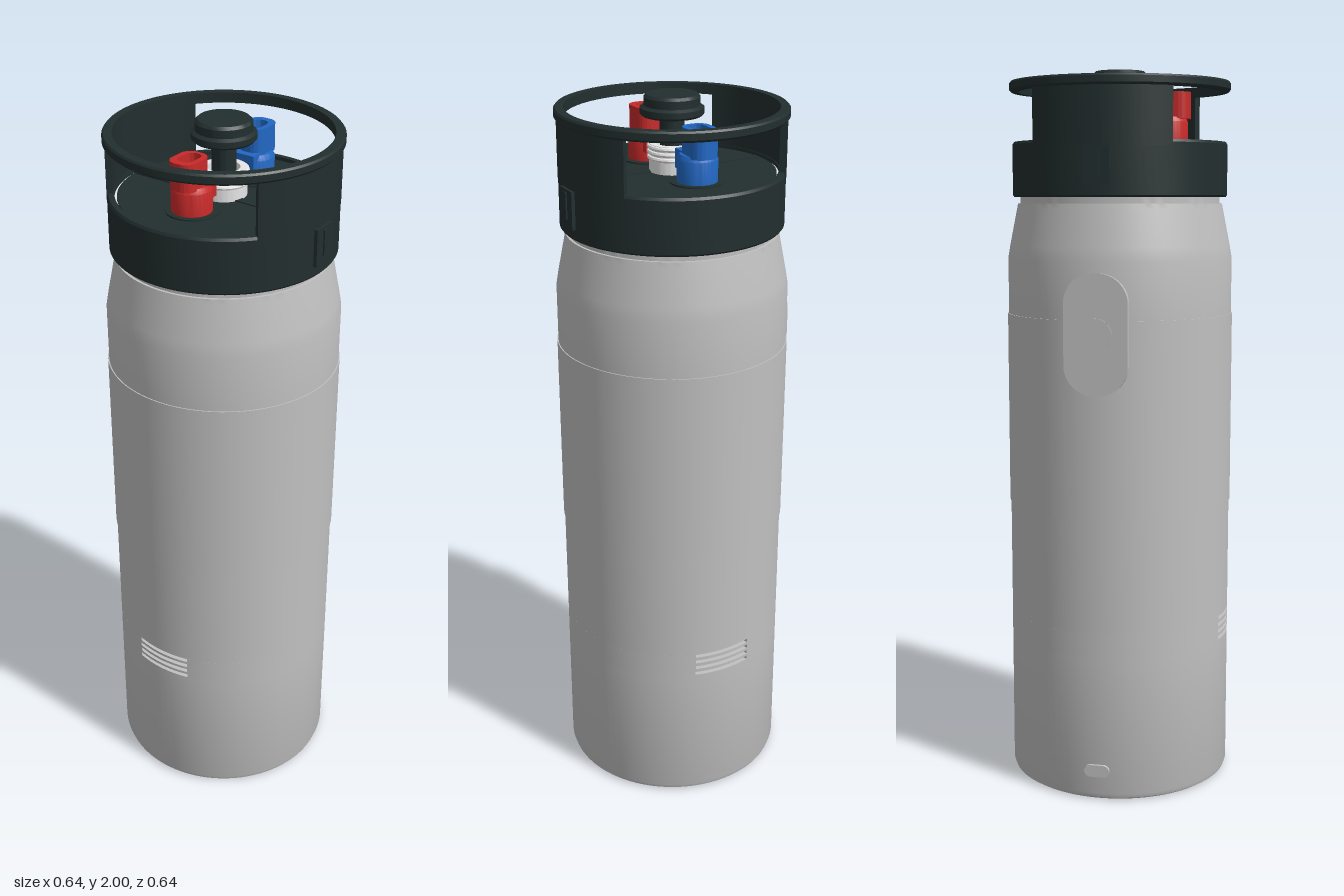
import * as THREE from 'three';
import { toCreasedNormals } from 'three/addons/utils/BufferGeometryUtils.js';

const mat = (name, color) => {
  const m = new THREE.MeshStandardMaterial({ color });
  m.name = name;
  return m;
};

export function createModel() {
  const steel = mat('steel grey', 0xc0c0c0);
  const dark = mat('dark green black', 0x222e2e);
  const white = mat('pale rim', 0xe6e6e6);
  const red = mat('red', 0xc92a2a);
  const blue = mat('blue', 0x2268c4);
  const model = new THREE.Group();
  model.name = 'bottle';

  const add = (name, geo, material, parent = model) => {
    const m = new THREE.Mesh(toCreasedNormals(geo, 0.5), material);
    m.name = name;
    parent.add(m);
    return m;
  };
  // Revolved profile, listed counterclockwise as [radius, y]
  const lathe = (pts, seg = 80) =>
    new THREE.LatheGeometry(pts.map(p => new THREE.Vector2(p[0], p[1])), seg);
  const ring = (r0, r1, y0, y1) => lathe([[r0, y0], [r1, y0], [r1, y1], [r0, y1], [r0, y0]]);
  const disc = (r, y0, y1, seg = 40) => lathe([[0, y0], [r, y0], [r, y1], [0, y1]], seg);
  // Upright extrusion of a floor plan, from y0 to y1
  const upright = (shape, y0, y1) => {
    const g = new THREE.ExtrudeGeometry(shape, { depth: y1 - y0, bevelEnabled: false, curveSegments: 28 });
    return g.rotateX(-Math.PI / 2).translate(0, y0, 0);
  };
  // Curved wall centred on angle a, with half-angle h
  const wall = (r0, r1, a, h, y0, y1) => {
    const s = new THREE.Shape();
    s.absarc(0, 0, r1, a - h, a + h, false);
    s.absarc(0, 0, r0, a + h, a - h, true);
    s.closePath();
    return upright(s, y0, y1);
  };
  const rounded = (P, cx, cy, hw, hh, r) => {
    const s = new P();
    s.absarc(cx + hw - r, cy + hh - r, r, 0, Math.PI / 2, false);
    s.absarc(cx - hw + r, cy + hh - r, r, Math.PI / 2, Math.PI, false);
    s.absarc(cx - hw + r, cy - hh + r, r, Math.PI, Math.PI * 1.5, false);
    s.absarc(cx + hw - r, cy - hh + r, r, Math.PI * 1.5, Math.PI * 2, false);
    s.closePath();
    return s;
  };

  // Bottle body with a sleeve band, sloped shoulder and neck
  const R = 0.315, V0 = 0.41, V1 = 0.48, inner = 0.302;
  add('body', lathe([
    [0, 0], [0.302, 0], [0.311, 0.006], [R, 0.018], [R, V0], [inner, V0], [inner, V1], [R, V1],
    [R, 0.8], [0.318, 0.8], [0.318, 1.335], [R, 1.335], [R, 1.49], [0.309, 1.525],
    [0.289, 1.625], [0.286, 1.64], [0.279, 1.64], [0.279, 1.67], [0, 1.67],
  ], 96), steel);

  // Side vents: walls fill the groove except for slots on each side
  const ventHalf = 0.272;
  for (const s of [1, -1]) {
    add('ventWall', wall(inner, R, s * Math.PI / 2, Math.PI / 2 - ventHalf, V0, V1), steel);
    for (let i = 0; i < 3; i++) {
      const y = V0 + 0.0115 + i * 0.0195;
      add('ventRib', wall(inner, R, s > 0 ? 0 : Math.PI, ventHalf, y, y + 0.008), steel);
    }
  }

  // Back plate with round button, and small port near the base
  const backPlate = (name, shape, y, z0, z1) => {
    const g = new THREE.ExtrudeGeometry(shape, {
      depth: z1 - z0, bevelEnabled: false, curveSegments: 16,
    });
    add(name, g.rotateY(Math.PI).translate(0, y, -z0), steel);
  };
  backPlate('backPlate', rounded(THREE.Shape, 0, 0, 0.087, 0.162, 0.08), 1.298, 0.29, 0.322);
  backPlate('backButton', rounded(THREE.Shape, 0, 0, 0.044, 0.044, 0.0439), 1.298, 0.32, 0.325);
  backPlate('basePort', rounded(THREE.Shape, 0, 0, 0.035, 0.017, 0.0169), 0.086, 0.3, 0.322);

  // Lid collar, pale rim and deck
  add('lidCollar', lathe([
    [0.27, 1.657], [0.296, 1.657], [0.3, 1.662], [0.3, 1.8], [0.296, 1.807],
    [0.281, 1.807], [0.281, 1.7], [0.27, 1.7], [0.27, 1.657],
  ]), dark);
  add('lidRim', ring(0.27, 0.281, 1.7, 1.796), white);
  add('deck', disc(0.275, 1.7, 1.8, 80), dark);
  add('deckStrip', new THREE.BoxGeometry(0.023, 0.004, 0.54).translate(-0.015, 1.801, 0), dark);

  // Front and back: curved handle supports, latches with a raised slider
  for (const s of [1, -1]) {
    add('handleSupport', wall(0.283, 0.301, s * Math.PI / 2, 0.68, 1.79, 1.947), dark);
    add('latch', new THREE.BoxGeometry(0.07, 0.1, 0.02).translate(0, 1.738, s * 0.297), dark);
    add('latchSlider', new THREE.BoxGeometry(0.013, 0.07, 0.012).translate(0, 1.745, s * 0.305), dark);
  }

  // Carry ring
  add('carryRing', lathe([
    [0.281, 1.943], [0.301, 1.943], [0.307, 1.949], [0.307, 1.966], [0.303, 1.971],
    [0.281, 1.971], [0.281, 1.943],
  ]), dark);

  // Centre spout: ridged pale neck, stem and cap
  for (const y of [1.838, 1.852, 1.866])
    add('spoutThread', new THREE.TorusGeometry(0.06, 0.006, 8, 40).rotateX(Math.PI / 2).translate(0, y, 0), white);
  add('spoutNeck', ring(0.042, 0.06, 1.8, 1.873), white);
  add('spoutStem', disc(0.032, 1.8, 1.95), dark);
  add('spoutCap', lathe([
    [0, 1.945], [0.078, 1.945], [0.084, 1.951], [0.084, 1.966], [0.074, 1.972],
    [0.074, 1.993], [0.067, 2], [0, 2],
  ], 48), dark);

  // Two coloured nozzles, built along +x and turned for the other side
  const nozzle = (name, material, turn) => {
    const g = new THREE.Group();
    g.name = name;
    g.rotation.y = turn;
    add('nozzleSeat', disc(0.07, 1.798, 1.804).translate(0.135, 0, 0), dark, g);
    add('nozzleBase', lathe([
      [0, 1.8], [0.053, 1.8], [0.053, 1.862], [0.046, 1.875], [0, 1.875],
    ], 32).translate(0.138, 0, 0), material, g);
    add('nozzleArm', new THREE.BoxGeometry(0.06, 0.05, 0.07).translate(0.112, 1.855, 0), material, g);
    const plan = rounded(THREE.Shape, 0.15, 0, 0.048, 0.037, 0.03);
    plan.holes.push(rounded(THREE.Path, 0.146, 0, 0.034, 0.022, 0.0215));
    add('nozzleTip', upright(plan, 1.87, 1.942), material, g);
    add('nozzleCore', upright(rounded(THREE.Shape, 0.144, 0, 0.018, 0.02, 0.0175), 1.87, 1.89), material, g);
    model.add(g);
  };
  nozzle('blueNozzle', blue, 0);
  nozzle('redNozzle', red, Math.PI);

  return model;
}
